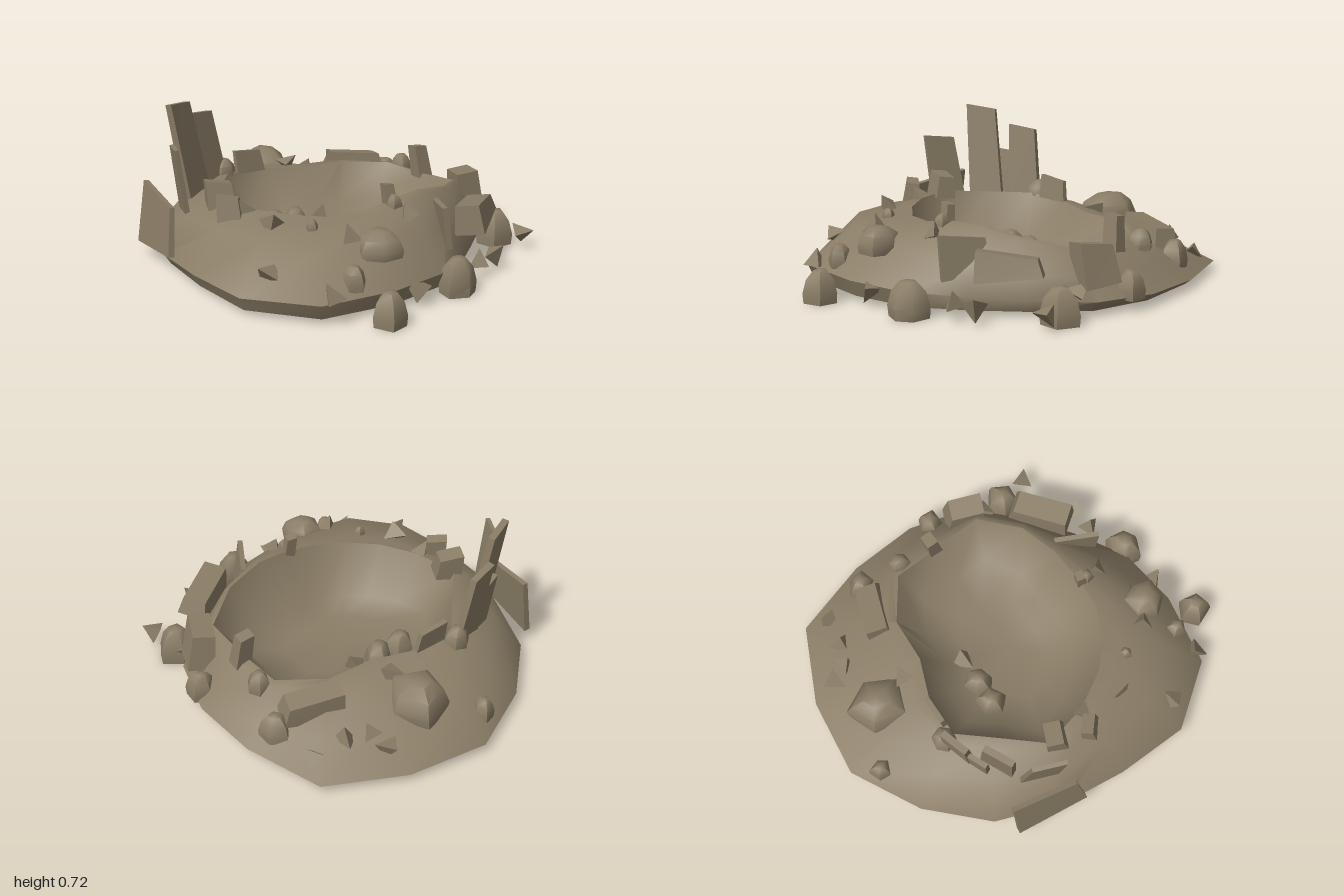
import * as THREE from 'three';
import { toCreasedNormals } from 'three/addons/utils/BufferGeometryUtils.js';

let seed = 7;
const rnd = () => { seed = (seed * 16807) % 2147483647; return seed / 2147483647; };
const jitter = (a) => (rnd() * 2 - 1) * a;

// radii of the mound's foot and of the crater floor, clockwise from the back
const FOOT = [1, 1.03, .89, .82, .77, .68, .67, .74, .81, .93, .92, .83, .83, .88, .92, 1];
const FLOOR = [.33, .43, .5, .44, .47, .37, .28, .25, .27, .3, .33, .38, .46, .41, .45, .38];

// closed skin over rings of equal length, fan-capped at both ends
function skin(rings, first, last) {
  const n = rings[0].length, pos = [first, ...rings.flat(), last].flat(), idx = [];
  const end = rings.length * n + 1;
  for (let i = 0; i < n; i++) {
    const j = (i + 1) % n;
    idx.push(0, 1 + i, 1 + j);
    for (let r = 0; r < rings.length - 1; r++) {
      const a = 1 + r * n + i, b = 1 + r * n + j;
      idx.push(a, a + n, b, b, a + n, b + n);
    }
    idx.push(end - n + i, end, end - n + j);
  }
  const g = new THREE.BufferGeometry();
  g.setAttribute('position', new THREE.Float32BufferAttribute(pos, 3));
  g.setIndex(idx);
  return g;
}

// mound that is low and long at the back, with its highest rim at the front left
function craterGeometry() {
  const ring = (rule) => FOOT.map((foot, i) => {
    const a = i / FOOT.length * Math.PI * 2, c = Math.cos(a), s = Math.sin(a);
    const bump = Math.max(0, Math.cos(a - Math.PI * .75));
    const rim = FLOOR[i] + .13 + .02 * bump;
    const rimY = .285 - .02 * c - .03 * s + .085 * bump ** 4;
    const [r, y] = rule({ foot, rim, rimY, floor: FLOOR[i], c, s });
    return [r * s, y, -r * c];
  });
  return toCreasedNormals(skin([
    ring((k) => [k.foot * .965, .025]),
    ring((k) => [k.foot, .07 - .03 * k.c]),
    ring((k) => [k.foot + (k.rim - k.foot) * .42, .21 - .05 * k.c - .05 * k.s]),
    ring((k) => [k.foot + (k.rim - k.foot) * .85, k.rimY - .01]),
    ring((k) => [k.rim, k.rimY]),
    ring((k) => [k.floor, .09]),
    ring((k) => [k.floor * .6, .05]),
  ], [0, .025, 0], [0, .04, 0]), 1.05);
}

// domed, irregular stone
function boulderGeometry(w, h) {
  const n = 5 + Math.floor(rnd() * 2), turn = rnd() * 6;
  const radii = Array.from({ length: n }, () => w * (.53 + jitter(.07)));
  const rings = [[-.5, .95], [-.2, 1], [.2, .8], [.46, .4]].map(([y, s]) => radii.map((r, i) => {
    const a = turn + i / n * Math.PI * 2 + jitter(.04);
    return [Math.cos(a) * r * s, y * h, Math.sin(a) * r * s];
  }));
  return toCreasedNormals(skin(rings, [0, -.5 * h, 0], [0, .5 * h, 0]), .95);
}

// box whose upper end is narrowed and cut askew
function slabGeometry(w, h, d) {
  const g = new THREE.BoxGeometry(w, h, d), p = g.attributes.position;
  for (let i = 0; i < p.count; i++) {
    if (p.getY(i) > 0) p.setXYZ(i, p.getX(i) * .88, p.getY(i) - p.getX(i) * .2, p.getZ(i) * .8);
  }
  g.computeVertexNormals();
  return g;
}

// small pointed splinter
function shardGeometry(size) {
  const g = new THREE.TetrahedronGeometry(size * .62);
  g.scale(1, 1, .8);
  g.computeVertexNormals();
  return g;
}

export function createModel() {
  seed = 7;
  const model = new THREE.Group();
  model.name = 'rubbleCrater';
  const earth = new THREE.MeshStandardMaterial({ color: 0x8a7d66 });
  earth.name = 'dusty brown stone';
  const add = (parent, name, geo, x, y, z, rx = 0, ry = 0, rz = 0) => {
    const m = new THREE.Mesh(geo, earth);
    m.name = name;
    m.position.set(x, y, z);
    m.rotation.set(rx, ry, rz, 'YXZ');
    parent.add(m);
    return m;
  };
  const group = (name) => {
    const g = new THREE.Group();
    g.name = name;
    model.add(g);
    return g;
  };

  const mound = add(model, 'craterMound', craterGeometry(), 0, 0, 0);

  // height of the mound under a point, 0 beside it
  const down = new THREE.Vector3(0, -1, 0);
  const groundAt = (x, z) => {
    const hit = new THREE.Raycaster(new THREE.Vector3(x, 2, z), down).intersectObject(mound)[0];
    return hit ? hit.point.y : 0;
  };

  // boulders: x, z, size; the largest are squat
  const boulders = group('boulders');
  [[-.07, .92, .155], [.34, .69, .17], [.76, .18, .17], [.73, -.21, .13], [-.14, -.71, .29], [.5, -.63, .13],
    [-.02, .66, .2], [.51, -.42, .1], [-.43, -.78, .1], [-.25, -.18, .14], [-.13, -.21, .14], [-.18, .78, .11],
    [-.27, .48, .06], [.14, .41, .07], [-.42, -.46, .11],
  ].forEach(([x, z, w]) => {
    const h = w > .18 ? w * .6 : w;
    add(boulders, 'boulder', boulderGeometry(w, h), x, Math.max(h / 2, groundAt(x, z) + h * .2), z);
  });

  // upright and fallen slabs, leaning back: x, z, width, height, depth, heading, lift
  const slabs = group('slabs');
  [[-.64, -.26, .17, .5, .04, .75, .02], [-.51, -.42, .16, .38, .04, .6, .02], [-.59, -.35, .13, .28, .03, .7, 0],
    [-.73, -.07, .18, .34, .025, 1.5, .03], [-.84, -.08, .36, .26, .03, -1.4, 0], [-.29, -.46, .16, .14, .03, .3, -.02],
    [-.57, .03, .13, .12, .1, -.1, -.01], [-.57, .2, .11, .12, .07, -.4, -.01], [.37, .43, .24, .18, .03, 1.4, -.04],
    [.58, .33, .3, .11, .14, .95, .08], [.54, -.25, .08, .17, .07, .3, -.01], [.69, -.04, .18, .19, .13, 1.5, -.02],
    [.13, .38, .055, .14, .05, .1, -.04], [.32, -.61, .28, .12, .13, 0, -.04],
  ].forEach(([x, z, w, h, d, heading, lift]) => {
    const y = Math.max(.11, groundAt(x, z)) + h * .38 + lift;
    add(slabs, 'slab', slabGeometry(w, h, d), x, y, z, -.14, heading, .1);
  });

  // splinters: x, z
  const shards = group('shards');
  [[0, -.25], [-.43, .4], [-.52, .64], [-.3, .84], [.12, .77], [.18, .48], [.5, .56], [.6, .51], [.84, .3],
    [.72, .06], [.06, -.88], [.12, -.81], [.23, -.8], [.38, -.83], [-.06, -.57], [-.14, .61], [-.5, .2],
  ].forEach(([x, z]) => {
    const y = Math.max(.08, groundAt(x, z) + .015);
    add(shards, 'shard', shardGeometry(.09 + rnd() * .03), x, y, z, rnd() * 3, rnd() * 6, rnd() * 3);
  });

  return model;
}
